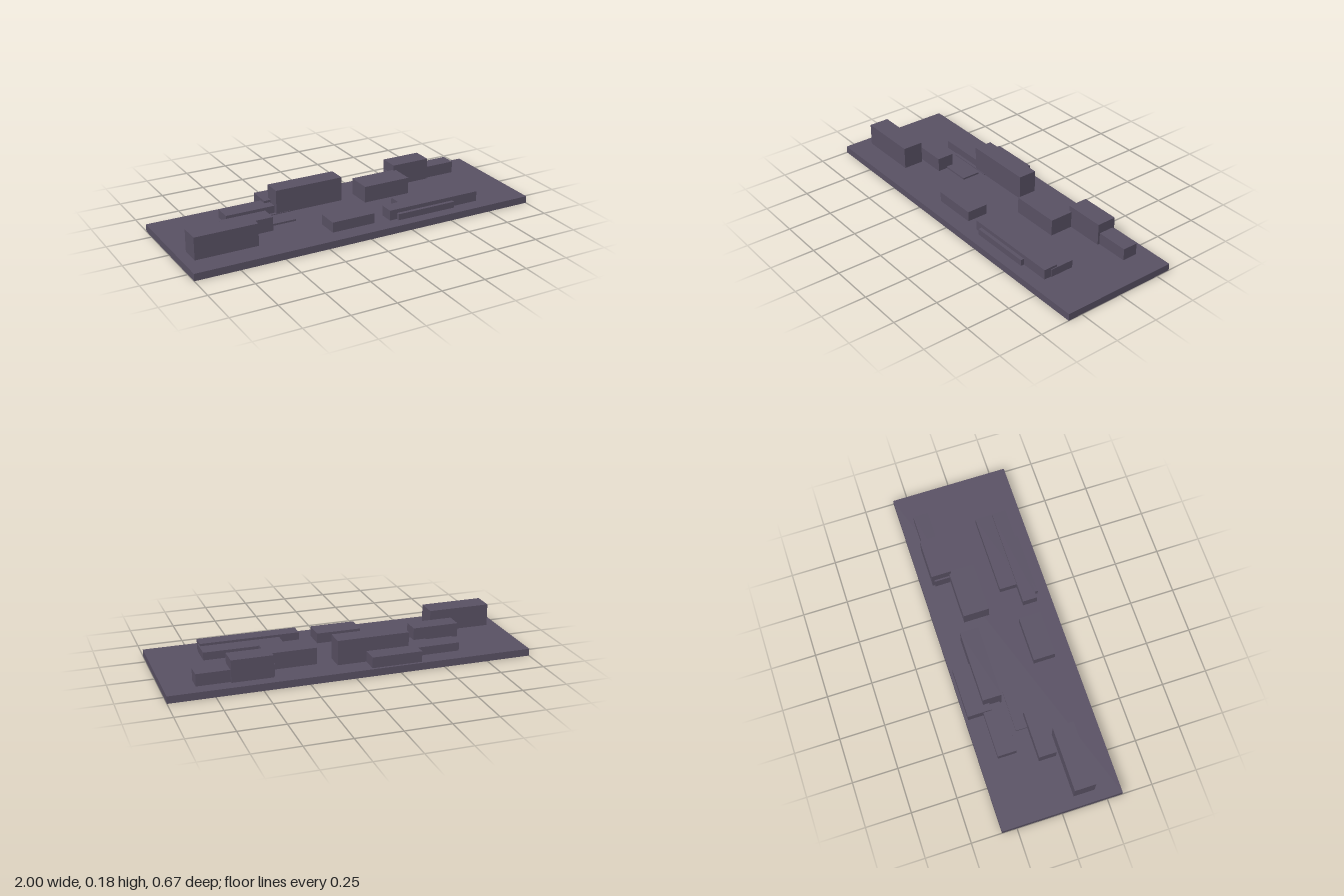
import * as THREE from 'three';

const slate = new THREE.MeshStandardMaterial({ name: 'slate', color: 0x5a5265 });
const BASE_TOP = 0.04;

// Box given by its extents on each axis
function block(name, x0, x1, y0, y1, z0, z1) {
  const mesh = new THREE.Mesh(new THREE.BoxGeometry(x1 - x0, y1 - y0, z1 - z0), slate);
  mesh.position.set((x0 + x1) / 2, (y0 + y1) / 2, (z0 + z1) / 2);
  mesh.name = name;
  return mesh;
}

// Raised blocks: name, x from/to, z from/to, top height
const blocks = [
  ['tallLeftBlock', -0.94, -0.587, 0.081, 0.197, 0.165],
  ['middleLeftBlock', -0.705, -0.442, -0.031, 0.065, 0.118],
  ['lowSlab', -0.512, -0.281, -0.095, 0.01, 0.05],
  ['thinSlab', -0.53, -0.25, -0.2, -0.114, 0.045],
  ['backLeftBlock', -0.625, -0.34, -0.232, -0.13, 0.087],
  ['backEdgeBlock', -0.374, -0.094, -0.318, -0.186, 0.1],
  ['tallCentreBlock', -0.335, 0.066, -0.221, -0.117, 0.177],
  ['middleRightBlock', 0.165, 0.444, -0.17, -0.025, 0.133],
  ['tallRightBlock', 0.428, 0.654, -0.27, -0.159, 0.163],
  ['backRightBlock', 0.419, 0.836, -0.257, -0.171, 0.107],
  ['frontCentreBlock', -0.181, 0.071, 0.117, 0.238, 0.097],
  ['frontRightRearBlock', 0.274, 0.722, 0.073, 0.209, 0.084],
  ['frontRightLongBlock', 0.16, 0.717, 0.17, 0.25, 0.097],
  ['frontRightStep', 0.203, 0.556, 0.19, 0.27, 0.075],
];

export function createModel() {
  const model = new THREE.Group();
  model.name = 'blockPanel';
  model.add(block('basePlate', -1, 1, 0, BASE_TOP, -0.333, 0.333));
  for (const [name, x0, x1, z0, z1, top] of blocks) {
    model.add(block(name, x0, x1, BASE_TOP - 0.01, top, z0, z1));
  }
  return model;
}
